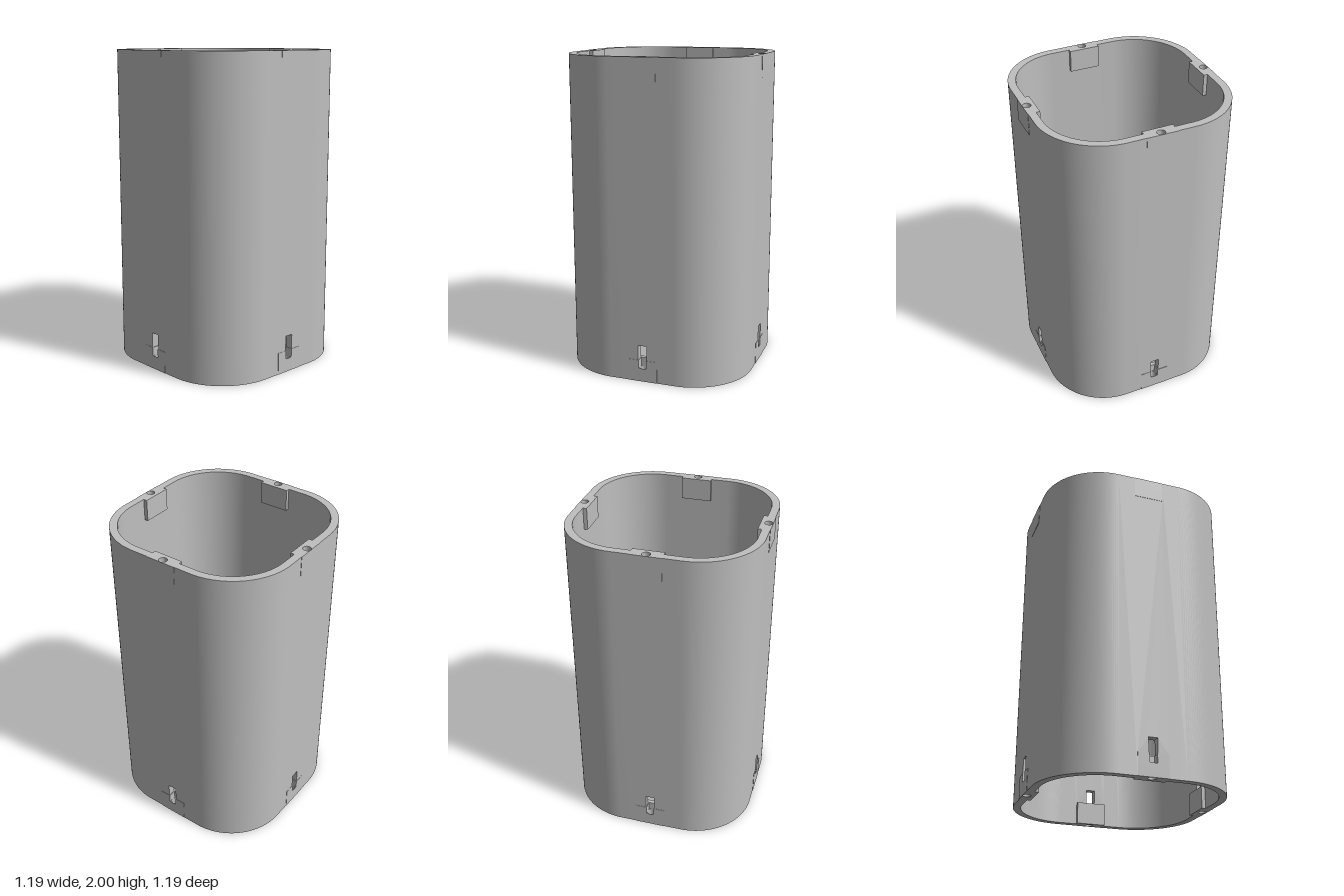
import * as THREE from 'three';
import { toCreasedNormals } from 'three/addons/utils/BufferGeometryUtils.js';

const OUT = 0.595, IN = 0.547, FLAT = 0.205;            // wall faces and start of the corner arcs
const PAD_W = 0.095, PAD_IN = 0.523, PAD_OUT = 0.597;   // mounting pads
const PAD_H = 0.14, HEIGHT = 2;
const HOLE_R = 0.025, HOLE_POS = 0.571;
const SLOT_W = 0.028, SLOT_BOTTOM = 0.085, SLOT_TOP = 0.235;

const polygon = (pts) => new THREE.Shape(pts.map(([x, y]) => new THREE.Vector2(x, y)));

// Extrude a plan shape upward between two heights
function slab(shape, y0, y1) {
  const g = new THREE.ExtrudeGeometry(shape, { depth: y1 - y0, bevelEnabled: false, curveSegments: 24 });
  g.rotateX(-Math.PI / 2);
  g.translate(0, y0, 0);
  return toCreasedNormals(g, 0.5);
}

function padPlan(withHole) {
  const s = polygon([[-PAD_W, PAD_IN], [PAD_W, PAD_IN], [PAD_W, PAD_OUT], [-PAD_W, PAD_OUT]]);
  if (withHole) s.holes.push(new THREE.Path().absarc(0, HOLE_POS, HOLE_R, 0, Math.PI * 2, true));
  return s;
}

export function createModel() {
  const model = new THREE.Group();
  model.name = 'roundedSquareTube';
  const grey = new THREE.MeshStandardMaterial({ color: 0xbfbfbf });
  grey.name = 'light grey';

  // Rounded corner of the wall, full height
  const corner = new THREE.Shape();
  corner.moveTo(PAD_W, OUT);
  corner.lineTo(FLAT, OUT);
  corner.absarc(FLAT, FLAT, OUT - FLAT, Math.PI / 2, 0, true);
  corner.lineTo(OUT, PAD_W);
  corner.lineTo(IN, PAD_W);
  corner.lineTo(IN, FLAT);
  corner.absarc(FLAT, FLAT, IN - FLAT, 0, Math.PI / 2, false);
  corner.lineTo(PAD_W, IN);
  corner.closePath();

  // Flat strip between the pads, with the upper part of the slot cut through
  const top = HEIGHT - PAD_H;
  const strip = new THREE.ExtrudeGeometry(polygon([
    [-PAD_W, PAD_H], [-SLOT_W, PAD_H], [-SLOT_W, SLOT_TOP], [SLOT_W, SLOT_TOP],
    [SLOT_W, PAD_H], [PAD_W, PAD_H], [PAD_W, top], [-PAD_W, top],
  ]), { depth: OUT - IN, bevelEnabled: false });
  strip.rotateY(Math.PI);
  strip.translate(0, 0, -IN);

  // Lower pad layer, pocketed from outside
  const w = SLOT_W - 0.004;
  const pocket = polygon([
    [-PAD_W, PAD_IN], [PAD_W, PAD_IN], [PAD_W, PAD_OUT], [w, PAD_OUT],
    [w, IN], [-w, IN], [-w, PAD_OUT], [-PAD_W, PAD_OUT],
  ]);

  const parts = {
    wallCorner: slab(corner, 0, HEIGHT),
    wallStrip: strip,
    bottomPadBase: slab(padPlan(true), 0, SLOT_BOTTOM),
    bottomPadPocket: slab(pocket, SLOT_BOTTOM, PAD_H),
    topPadBase: slab(padPlan(false), top, top + 0.04),
    topPadBore: slab(padPlan(true), top + 0.04, HEIGHT),
  };

  // Same side repeated around the tube
  ['back', 'left', 'front', 'right'].forEach((side, i) => {
    const group = new THREE.Group();
    group.name = side + 'Side';
    group.rotation.y = -i * Math.PI / 2;
    for (const [name, geometry] of Object.entries(parts)) {
      const mesh = new THREE.Mesh(geometry, grey);
      mesh.name = name;
      group.add(mesh);
    }
    model.add(group);
  });
  return model;
}
